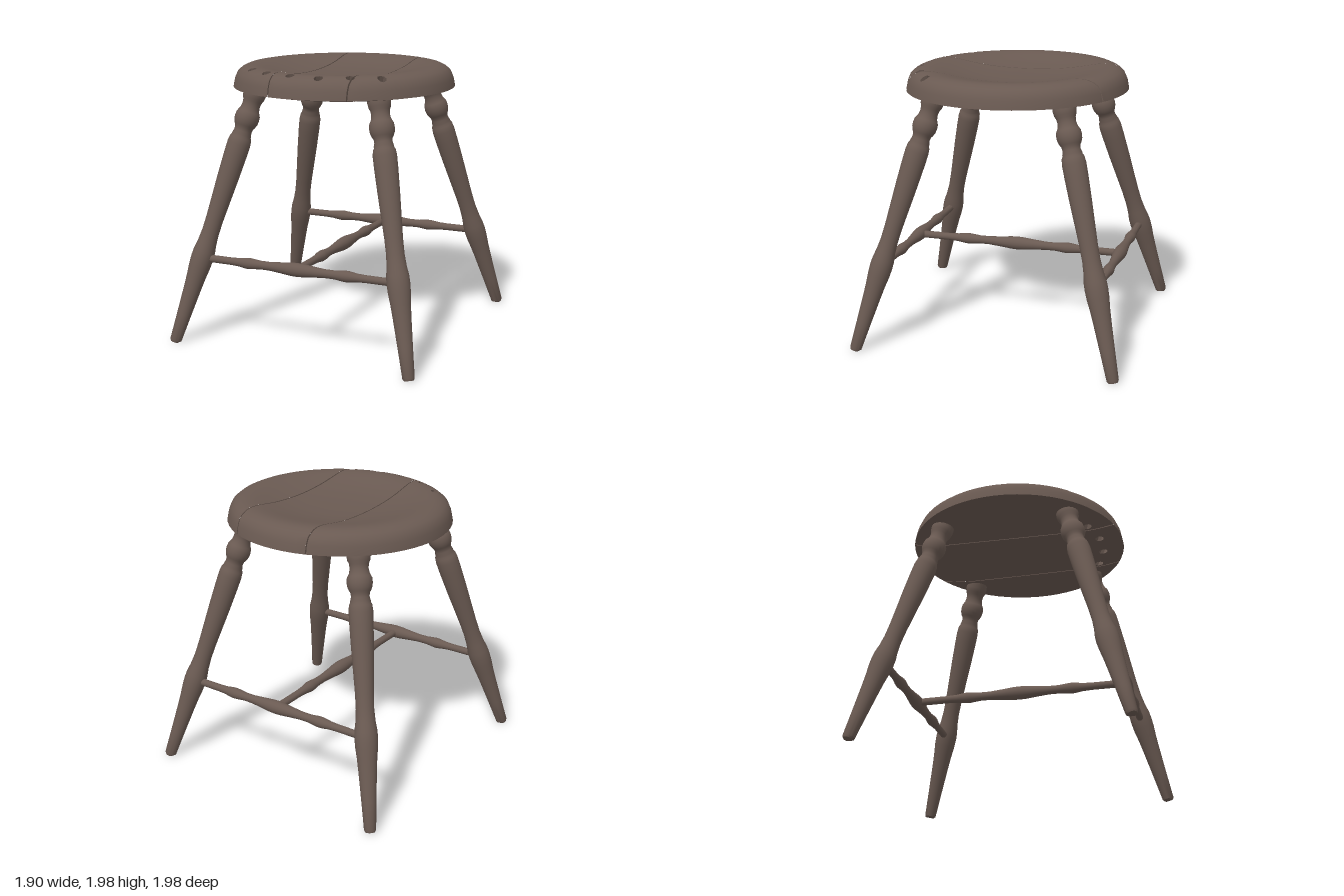
import * as THREE from 'three';
import { toCreasedNormals } from 'three/addons/utils/BufferGeometryUtils.js';

const wood = new THREE.MeshStandardMaterial({ color: 0x6a5a52 });
wood.name = 'brownWood';

// Seat cross-section [radius, height]: underside out to the rim, then the dished top back in
const UNDER = [[0, 1.787], [0.3, 1.787], [0.59, 1.788], [0.62, 1.79], [0.65, 1.793], [0.68, 1.797], [0.71, 1.801], [0.81, 1.82]];
const TOP = [[0, 1.905], [0.12, 1.906], [0.24, 1.91], [0.35, 1.92], [0.45, 1.936], [0.54, 1.955], [0.6, 1.967], [0.645, 1.972],
  [0.68, 1.972], [0.715, 1.966], [0.75, 1.95], [0.778, 1.926], [0.798, 1.88], [0.81, 1.82]];
const HOLES = [[0.52, 0.52], [0.335, 0.63], [0.135, 0.71], [-0.085, 0.70], [-0.30, 0.64], [-0.48, 0.52]];
const HOLE_R = 0.033;
const AROUND = [[1, 0], [1, 1], [0, 1], [-1, 1], [-1, 0], [-1, -1], [0, -1], [1, -1]];

function heightAt(profile, r) {
  const n = profile.length - 1;
  for (let i = 0; i < n; i++) {
    const [r0, y0] = profile[i], [r1, y1] = profile[i + 1];
    if (r <= r1) return y0 + (y1 - y0) * (r - r0) / (r1 - r0);
  }
  return profile[n][1];
}

const quad = (list, a, b, c, d) => list.push([a, c, b], [b, c, d]);

// Whole seat as triangles, with slanted round holes along the front
function seatTriangles() {
  const tris = [], angles = [], centres = [];
  const step = HOLE_R / 0.715;
  for (const [x, z] of HOLES) {
    const a = Math.atan2(z, x);
    centres.push(angles.length + 2);
    for (let k = -2; k <= 2; k++) angles.push(a + k * step);
  }
  const start = angles[angles.length - 1], span = angles[0] + Math.PI * 2 - start;
  for (let k = 1; k < 44; k++) angles.push(start + span * k / 44);

  const rings = [...UNDER, ...TOP.slice(0, -1).reverse()];
  const n = angles.length, underMid = 4;
  const topMid = rings.findIndex(([r, y]) => r === 0.715 && y > 1.9);
  const grid = rings.map(([r, y]) => angles.map(a => new THREE.Vector3(r * Math.cos(a), y, r * Math.sin(a))));
  const open = new Set();

  HOLES.forEach(([x, z], h) => {
    const i = centres[h], a = angles[i];
    const ca = Math.cos(a), sa = Math.sin(a);
    const loop = (profile, mid, sign, radius) => AROUND.map(([di, dj]) => {
      const phi = Math.atan2(dj, di);
      const t = HOLE_R * Math.cos(phi), r = radius + HOLE_R * Math.sin(phi);
      const p = grid[mid + sign * dj][i + di];
      p.set(r * ca - t * sa, 0, r * sa + t * ca);
      p.y = heightAt(profile, Math.hypot(p.x, p.z));
      return p;
    });
    const low = loop(UNDER, underMid, 1, 0.65);
    const high = loop(TOP, topMid, -1, Math.hypot(x, z));
    for (let k = 0; k < 8; k++) quad(tris, low[k], low[(k + 1) % 8], high[k], high[(k + 1) % 8]);
    for (const mid of [underMid, topMid])
      for (const di of [-1, 0]) for (const dj of [-1, 0]) open.add((mid + dj) * n + i + di);
  });

  for (let j = 0; j < rings.length - 1; j++)
    for (let i = 0; i < n; i++) {
      if (open.has(j * n + i)) continue;
      const k = (i + 1) % n;
      quad(tris, grid[j][i], grid[j][k], grid[j + 1][i], grid[j + 1][k]);
    }
  return tris;
}

// Keep the part of a polygon on one side of the line x = a + b z
function clip(poly, { a, b, side }) {
  const f = p => side * (p.x - a - b * p.z);
  const out = [];
  poly.forEach((p, i) => {
    const q = poly[(i + 1) % poly.length], fp = f(p), fq = f(q);
    if (fp >= 0) out.push(p);
    if ((fp >= 0) !== (fq >= 0)) out.push(p.clone().lerp(q, fp / (fp - fq)));
  });
  return out;
}

function plank(name, tris, cuts) {
  const faces = [];
  for (const tri of tris) {
    const poly = cuts.reduce((p, cut) => clip(p, cut), tri);
    for (let i = 1; i < poly.length - 1; i++) faces.push([poly[0], poly[i], poly[i + 1]]);
  }
  // Flat joint faces along the sawn edges
  for (const { a, b, side } of cuts) {
    const reach = Math.sqrt(0.81 ** 2 - a * a), wall = [];
    for (let k = 0; k <= 40; k++) {
      const z = reach * Math.sin((k / 40 - 0.5) * Math.PI), x = a + b * z, r = Math.hypot(x, z);
      wall.push([new THREE.Vector3(x, heightAt(UNDER, r), z), new THREE.Vector3(x, heightAt(TOP, r), z)]);
    }
    for (let k = 0; k < 40; k++) {
      const [p, q] = side < 0 ? [wall[k], wall[k + 1]] : [wall[k + 1], wall[k]];
      quad(faces, p[0], q[0], p[1], q[1]);
    }
  }
  // Seat leans very slightly towards the front
  const data = faces.flat().flatMap(p => [p.x, p.y - 0.009 * p.z, p.z]);
  const geo = new THREE.BufferGeometry();
  geo.setAttribute('position', new THREE.Float32BufferAttribute(data, 3));
  const mesh = new THREE.Mesh(toCreasedNormals(geo, 0.6), wood);
  mesh.name = name;
  return mesh;
}

// Turned part between two points; profile rows are [position along axis 0..1, radius]
function turned(name, from, to, profile, segments) {
  const axis = to.clone().sub(from), length = axis.length();
  const geo = new THREE.LatheGeometry(profile.map(([t, r]) => new THREE.Vector2(r, t * length)), segments);
  geo.applyQuaternion(new THREE.Quaternion().setFromUnitVectors(new THREE.Vector3(0, 1, 0), axis.normalize()));
  geo.translate(from.x, from.y, from.z);
  const pos = geo.attributes.position;
  for (let i = 0; i < pos.count; i++) pos.setY(i, Math.max(0, pos.getY(i)));
  const mesh = new THREE.Mesh(toCreasedNormals(geo, 0.6), wood);
  mesh.name = name;
  return mesh;
}

// Leg heights and radii from foot to seat
const LEG = [[0, 0], [0, 0.034], [0.015, 0.042], [0.2, 0.052], [0.4, 0.064], [0.48, 0.07], [0.55, 0.078], [0.61, 0.081], [0.66, 0.079],
  [0.72, 0.069], [0.8, 0.063], [0.9, 0.064], [1.05, 0.071], [1.2, 0.078], [1.35, 0.083], [1.43, 0.084], [1.47, 0.079],
  [1.485, 0.07], [1.495, 0.07], [1.52, 0.063], [1.545, 0.066], [1.56, 0.076], [1.585, 0.086], [1.61, 0.089], [1.64, 0.086],
  [1.655, 0.078], [1.67, 0.07], [1.7, 0.064], [1.73, 0.068], [1.75, 0.078], [1.78, 0.083], [1.83, 0.08]].map(([y, r]) => [y / 1.8, r]);

// Stretcher radii, mirrored about a central swelling
const HALF = [[0, 0.027], [0.16, 0.027], [0.2, 0.03], [0.235, 0.038], [0.25, 0.04], [0.265, 0.039], [0.31, 0.031], [0.36, 0.031], [0.42, 0.039], [0.47, 0.047]];
const STRETCHER = [...HALF, [0.5, 0.049], ...HALF.map(([t, r]) => [1 - t, r]).reverse()];

export function createModel() {
  const model = new THREE.Group();
  model.name = 'stool';

  const seat = new THREE.Group();
  seat.name = 'seat';
  const tris = seatTriangles(), gap = 0.004;
  const cutAt = (a, b, side) => ({ a: a + side * gap, b, side });
  seat.add(
    plank('rightPlank', tris, [cutAt(-0.237, 0.022, -1)]),
    plank('middlePlank', tris, [cutAt(-0.237, 0.022, 1), cutAt(0.36, -0.01, -1)]),
    plank('leftPlank', tris, [cutAt(0.36, -0.01, 1)]),
  );
  model.add(seat);

  const V = (x, y, z) => new THREE.Vector3(x, y, z);
  for (const sz of [1, -1]) {
    const end = sz > 0 ? 'front' : 'back';
    for (const sx of [1, -1])
      model.add(turned(`${end}${sx > 0 ? 'Left' : 'Right'}Leg`, V(sx * 0.915, 0, sz * 0.955), V(sx * 0.48, 1.8, sz * 0.475), LEG, 24));
    model.add(turned(`${end}Stretcher`, V(-0.77, 0.613, sz * 0.79), V(0.77, 0.613, sz * 0.79), STRETCHER, 16));
  }
  model.add(turned('middleStretcher', V(0, 0.613, -0.79), V(0, 0.613, 0.79), STRETCHER, 16));
  return model;
}
